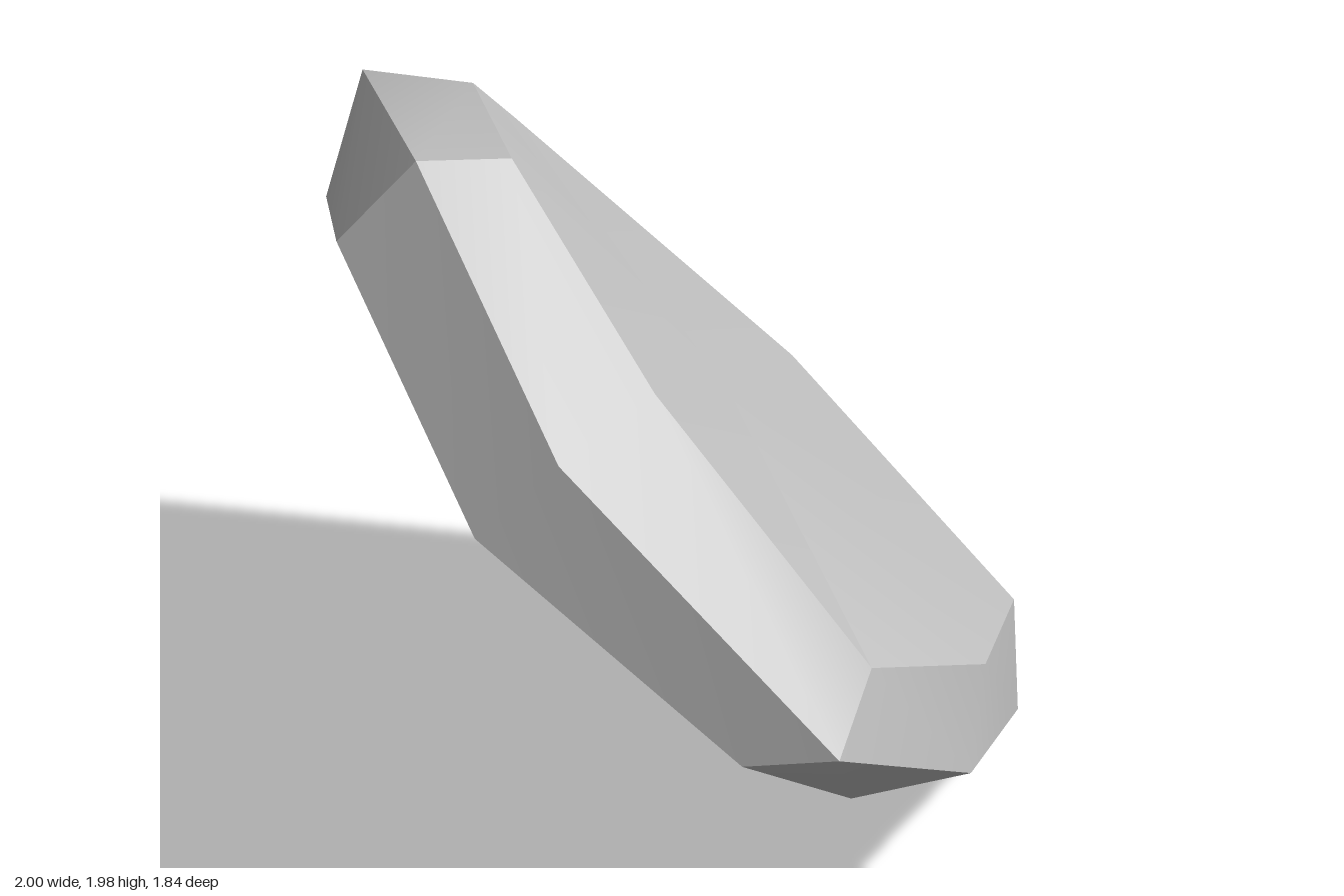
import * as THREE from 'three';
import { toCreasedNormals } from 'three/addons/utils/BufferGeometryUtils.js';

// Three matching eight-cornered outlines: front face, widest rim, back face
const front = [
  [-0.83, 1.49, 0.24], [-0.44, 1.75, 0.74], [0.09, 1.2, 0.915], [0.77, 0.74, 0.775],
  [0.66, 0.32, 0.18], [0.36, 0, -0.48], [-0.5, 0.18, -0.67], [-0.99, 0.99, -0.36],
];
const rim = [
  [-0.81, 1.79, 0.12], [-0.28, 1.98, 0.64], [0.27, 1.42, 0.825], [1, 0.8, 0.7],
  [0.88, 0.38, 0], [0.52, 0.09, -0.69], [-0.44, 0.36, -0.92], [-1, 1.27, -0.46],
];
const back = [
  [-0.61, 1.74, -0.05], [-0.18, 1.9, 0.39], [0.31, 1.47, 0.49], [0.9, 0.89, 0.43],
  [0.8, 0.57, -0.17], [0.48, 0.36, -0.73], [-0.29, 0.68, -0.9], [-0.81, 1.35, -0.5],
];
// Middle points of the two broad faces; the front one bulges
const frontCentre = [-0.21, 0.72, 0.28];
const backCentre = [0.06, 1.12, -0.13];

function stoneGeometry() {
  const n = front.length;
  const positions = [];
  const tri = (a, b, c) => positions.push(...a, ...b, ...c);

  for (let i = 0; i < n; i++) {
    const j = (i + 1) % n;
    // Bevelled sides
    for (const [near, far] of [[front, rim], [rim, back]]) {
      tri(near[i], near[j], far[i]);
      tri(near[j], far[j], far[i]);
    }
    // Broad faces, fanned from their middles
    tri(frontCentre, front[j], front[i]);
    tri(backCentre, back[i], back[j]);
  }

  const geometry = new THREE.BufferGeometry();
  geometry.setAttribute('position', new THREE.Float32BufferAttribute(positions, 3));
  return toCreasedNormals(geometry, 0.5);
}

export function createModel() {
  const group = new THREE.Group();
  group.name = 'rock';
  const stone = new THREE.MeshStandardMaterial({ color: 0xc0c0c0 });
  stone.name = 'grey stone';
  const slab = new THREE.Mesh(stoneGeometry(), stone);
  slab.name = 'stoneSlab';
  group.add(slab);
  return group;
}
